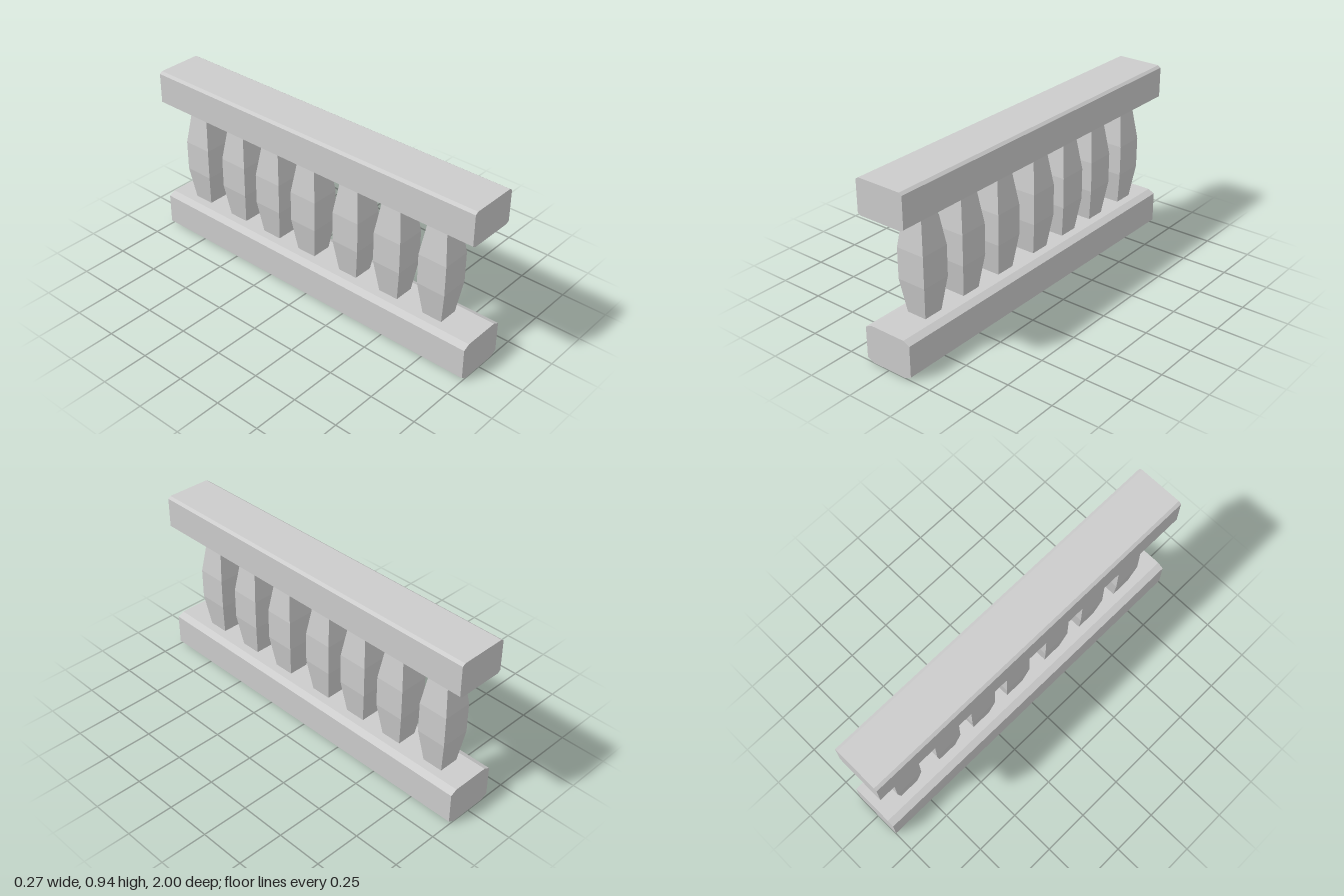
import * as THREE from 'three';

const material = new THREE.MeshStandardMaterial({ color: 0xcccccc, flatShading: true });

// Full-length rail with chamfered long edges (cx, cy: chamfer width and height)
function makeRail(name, y0, y1, cx, cy) {
  const w = 0.137;
  const shape = new THREE.Shape([
    [-w + cx, y0], [w - cx, y0], [w, y0 + cy], [w, y1 - cy],
    [w - cx, y1], [-w + cx, y1], [-w, y1 - cy], [-w, y0 + cy],
  ].map(([x, y]) => new THREE.Vector2(x, y)));
  const geometry = new THREE.ExtrudeGeometry(shape, { depth: 2, bevelEnabled: false });
  geometry.translate(0, 0, -1);
  const rail = new THREE.Mesh(geometry, material);
  rail.name = name;
  return rail;
}

// Square baluster that swells in the middle: [half width, height] from bottom to top
function makeBalusterGeometry() {
  const profile = [[0, 0.2], [0.055, 0.2], [0.08, 0.38], [0.08, 0.545], [0.051, 0.75], [0, 0.75]];
  const points = profile.map(([half, y]) => new THREE.Vector2(half * Math.SQRT2, y));
  return new THREE.LatheGeometry(points, 4, Math.PI / 4);
}

export function createModel() {
  const group = new THREE.Group();
  group.name = 'balustrade';

  group.add(makeRail('bottomRail', 0, 0.201, 0.036, 0.018));
  group.add(makeRail('topRail', 0.76, 0.945, 0.016, 0.011));

  // Slightly uneven row of balusters
  const balusterGeometry = makeBalusterGeometry();
  [0.75, 0.483, 0.223, -0.055, -0.298, -0.542, -0.81].forEach((z, i) => {
    const baluster = new THREE.Mesh(balusterGeometry, material);
    baluster.name = `baluster${i + 1}`;
    baluster.position.z = z;
    group.add(baluster);
  });

  return group;
}
